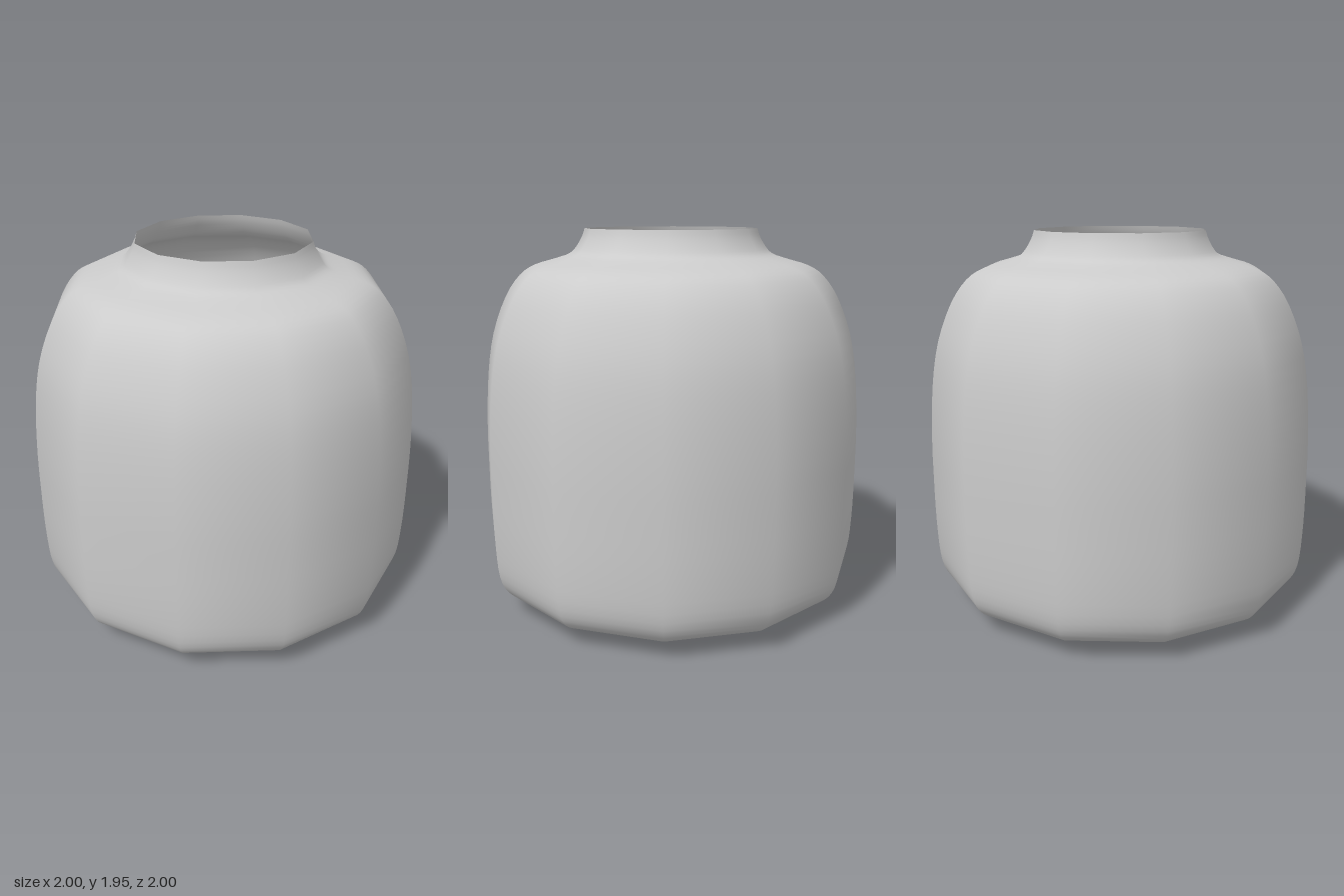
import * as THREE from 'three';

export function createModel() {
  const group = new THREE.Group();
  group.name = 'jar';

  // Half-section from the slightly bulging base, up the wall, to the open neck
  const profile = [
    [0, 0], [0.3, 0.01], [0.6, 0.028], [0.75, 0.045], [0.87, 0.08], [0.94, 0.13], [0.98, 0.22],
    [0.995, 0.38], [1, 0.6], [0.998, 0.9], [0.98, 1.18], [0.942, 1.4], [0.87, 1.59],
    [0.79, 1.705], [0.71, 1.758], [0.605, 1.79], [0.525, 1.817], [0.487, 1.855],
    [0.458, 1.905], [0.444, 1.945],
  ].map(([r, y]) => new THREE.Vector2(r, y));
  const points = new THREE.SplineCurve(profile).getPoints(57);
  for (const p of points) p.set(THREE.MathUtils.clamp(p.x, 0, 1), Math.max(p.y, 0));

  // Twelve-sided thin shell with smooth normals, open at the top
  const shell = new THREE.Mesh(
    new THREE.LatheGeometry(points, 12),
    new THREE.MeshStandardMaterial({ color: 0xcccccc, side: THREE.DoubleSide })
  );
  shell.name = 'jarShell';
  group.add(shell);
  return group;
}
